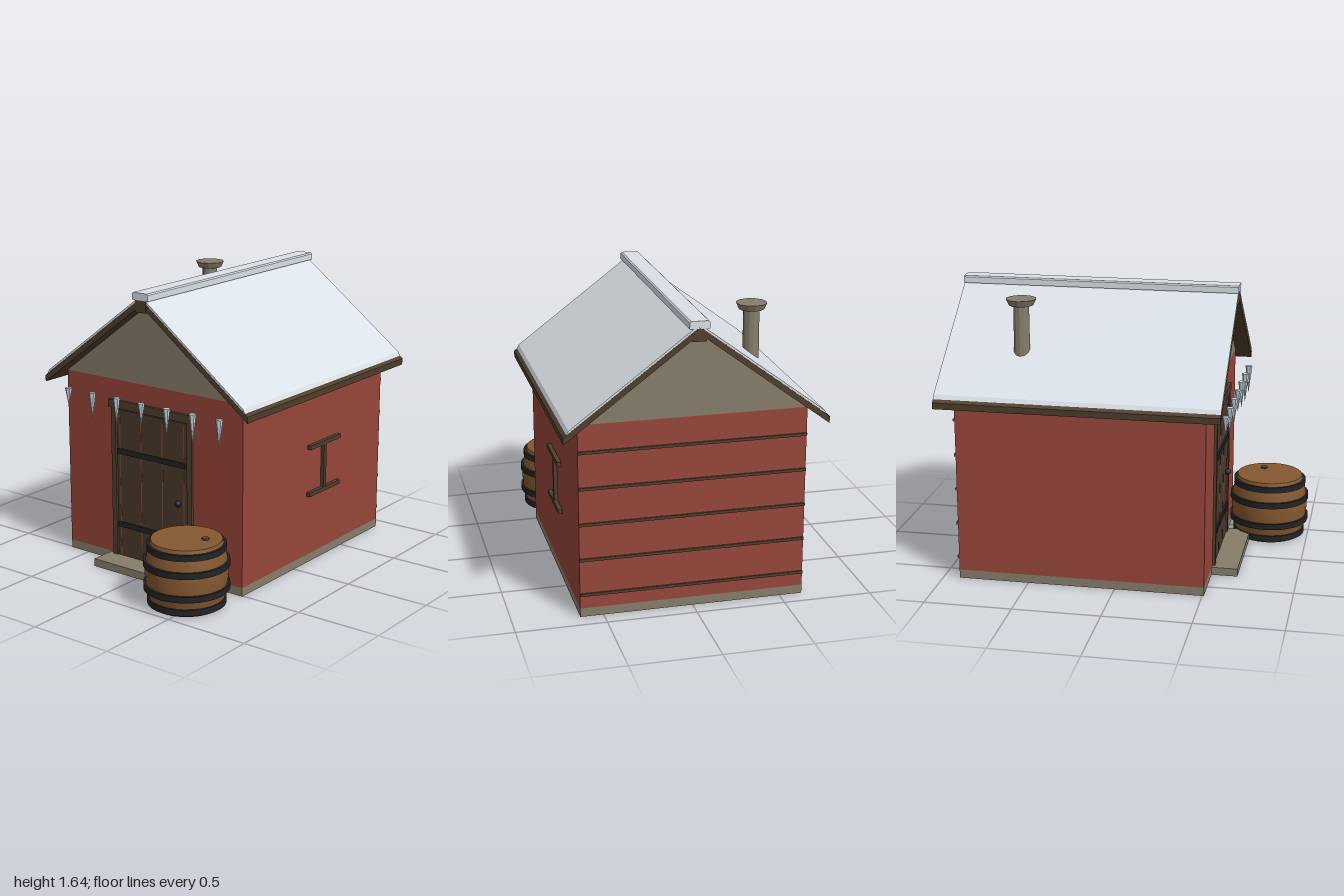
import * as THREE from 'three';

const mat = (name, color, flatShading = false) => {
  const m = new THREE.MeshStandardMaterial({ color, flatShading });
  m.name = name;
  return m;
};

export function createModel() {
  const red = mat('red wall', 0x98463a);
  const stone = mat('stone', 0x877d6a, true);
  const wood = mat('dark wood', 0x4f3f2d);
  const doorWood = mat('door wood', 0x4c3a2b);
  const iron = mat('black iron', 0x222324);
  const snow = mat('snow', 0xdae0e7);
  const ice = mat('ice', 0xc6d4de, true);
  const oak = mat('barrel oak', 0x845830);
  const bungWood = mat('bung wood', 0x5c3f24);

  const model = new THREE.Group();
  model.name = 'snowyHut';
  const add = (name, geometry, material, parent = model) => {
    const mesh = new THREE.Mesh(geometry, material);
    mesh.name = name;
    parent.add(mesh);
    return mesh;
  };
  const group = (name) => {
    const g = new THREE.Group();
    g.name = name;
    model.add(g);
    return g;
  };
  // Box given by its limits on each axis
  const box = (name, material, [x0, x1], [y0, y1], [z0, z1], parent) => {
    const mesh = add(name, new THREE.BoxGeometry(x1 - x0, y1 - y0, z1 - z0), material, parent);
    mesh.position.set((x0 + x1) / 2, (y0 + y1) / 2, (z0 + z1) / 2);
    return mesh;
  };
  // Front outline extruded between two depths
  const prism = (name, material, points, z0, z1, parent) => {
    const shape = new THREE.Shape(points.map(([x, y]) => new THREE.Vector2(x, y)));
    const geometry = new THREE.ExtrudeGeometry(shape, { depth: z1 - z0, bevelEnabled: false });
    geometry.translate(0, 0, z0);
    return add(name, geometry, material, parent);
  };

  // Walls, foundation and gables
  box('foundation', stone, [-0.63, 0.63], [0, 0.05], [-0.905, 0.51]);
  box('walls', red, [-0.63, 0.63], [0.05, 1.1], [-0.905, 0.51]);
  prism('gable', stone, [[-0.63, 1.1], [0.63, 1.1], [0, 1.575]], -0.905, 0.51);

  // Roof boards, snow sheets and ridge
  const roof = group('roof');
  prism('roofBoards', wood, [
    [-0.722, 1.033], [0, 1.575], [0.722, 1.033], [0.724, 1.07], [0, 1.615], [-0.724, 1.07],
  ], -1, 0.6, roof);
  for (const s of [-1, 1]) {
    prism('roofSnow', snow, [
      [s * 0.705, 1.085], [s * 0.693, 1.108], [0, 1.628], [0, 1.615],
    ], -1, 0.6, roof);
  }
  box('ridgeBeam', wood, [-0.038, 0.038], [1.535, 1.61], [-0.998, 0.602], roof);
  prism('ridgeSnow', snow, [
    [-0.055, 1.603], [0.055, 1.603], [0.055, 1.638], [0.047, 1.645], [-0.047, 1.645], [-0.055, 1.638],
  ], -1, 0.604, roof);

  // Stove pipe
  const chimney = group('chimney');
  chimney.position.set(-0.41, 0, -0.565);
  add('pipe', new THREE.CylinderGeometry(0.045, 0.047, 0.4, 12), stone, chimney).position.y = 1.38;
  add('pipeCap', new THREE.CylinderGeometry(0.086, 0.07, 0.035, 12), stone, chimney).position.y = 1.588;

  // Door with frame, plank seams, straps and knob
  const door = group('door');
  for (const s of [-1, 1]) {
    const edges = [s * 0.257, s * 0.29].sort((a, b) => a - b);
    box('doorJamb', wood, edges, [0.01, 0.936], [0.505, 0.526], door);
  }
  box('doorLintel', wood, [-0.308, 0.308], [0.936, 0.983], [0.505, 0.529], door);
  box('doorPanel', doorWood, [-0.253, 0.253], [0.03, 0.928], [0.505, 0.518], door);
  for (const x of [-0.231, -0.077, 0.077, 0.231]) {
    box('plankSeam', red, [x - 0.003, x + 0.003], [0.05, 0.91], [0.512, 0.519], door);
  }
  for (const y of [0.24, 0.683]) {
    box('doorStrap', iron, [-0.245, 0.245], [y - 0.015, y + 0.015], [0.51, 0.528], door);
  }
  const knob = add('doorKnob', new THREE.SphereGeometry(0.019, 16, 12), iron, door);
  knob.position.set(0.195, 0.455, 0.53);
  box('doorStep', stone, [-0.32, 0.32], [0, 0.046], [0.5, 0.66]);

  // Hanging rack on the side wall
  const rack = group('sideRack');
  for (const y of [0.425, 0.708]) {
    box('rackBar', wood, [0.632, 0.656], [y - 0.012, y + 0.012], [-0.43, -0.115], rack);
  }
  box('rackPost', wood, [0.628, 0.652], [0.425, 0.708], [-0.286, -0.261], rack);

  // Battens across the back wall
  for (let i = 0; i < 5; i++) {
    const y = 0.13 + i * 0.204;
    box('backBatten', wood, [-0.63, 0.63], [y - 0.008, y + 0.008], [-0.914, -0.9]);
  }

  // Icicles along the front
  const icicles = group('icicles');
  [0.11, 0.16, 0.16, 0.13, 0.16, 0.175, 0.17].forEach((length, i) => {
    const cone = add('icicle', new THREE.ConeGeometry(0.021, length, 6), ice, icicles);
    cone.rotation.x = Math.PI;
    cone.position.set(-0.54 + i * 0.18, 1.025 - length / 2, 0.605);
  });

  // Barrel with hoops, lid and bung
  const barrel = group('barrel');
  barrel.position.set(0.438, 0, 0.76);
  const profile = [[0.197, 0], [0.205, 0.03], [0.222, 0.1], [0.231, 0.19], [0.222, 0.28], [0.205, 0.35], [0.197, 0.378]]
    .map(([r, y]) => new THREE.Vector2(r, y));
  add('barrelStaves', new THREE.LatheGeometry(profile, 32), oak, barrel);
  const lid = add('barrelLid', new THREE.CircleGeometry(0.197, 32), oak, barrel);
  lid.rotation.x = -Math.PI / 2;
  lid.position.y = 0.378;
  const base = add('barrelBase', new THREE.CircleGeometry(0.197, 32), oak, barrel);
  base.rotation.x = Math.PI / 2;
  for (const [y, r] of [[0.03, 0.218], [0.113, 0.238], [0.247, 0.238], [0.34, 0.218]]) {
    add('barrelHoop', new THREE.CylinderGeometry(r, r, 0.035, 32), iron, barrel).position.y = y;
  }
  const bung = add('barrelBung', new THREE.CylinderGeometry(0.021, 0.021, 0.012, 12), bungWood, barrel);
  bung.position.set(0.095, 0.38, -0.045);

  return model;
}
